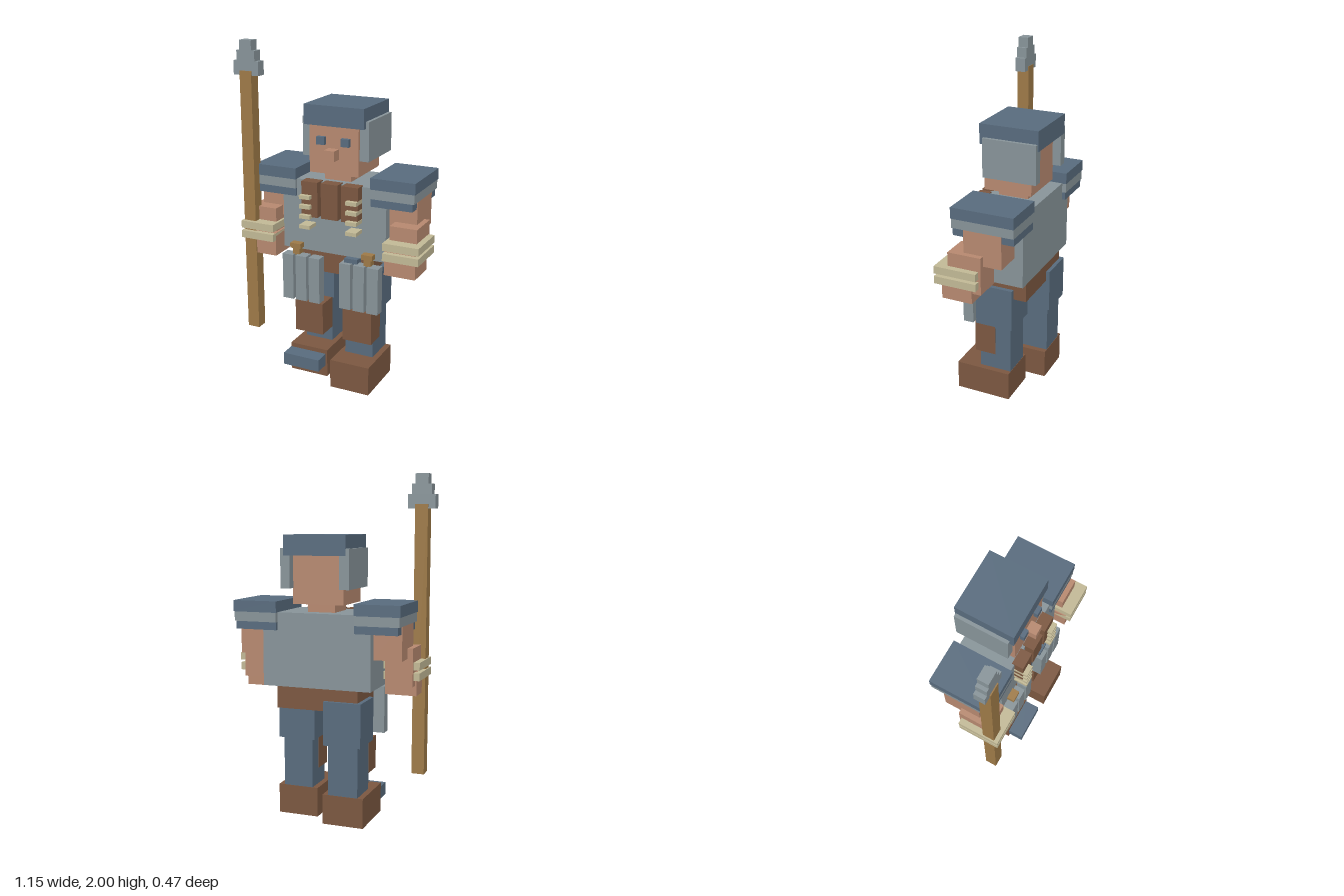
import * as THREE from 'three';

const paint = (name, color) => {
  const m = new THREE.MeshStandardMaterial({ color });
  m.name = name;
  return m;
};

export function createModel() {
  const model = new THREE.Group();
  model.name = 'blockGuard';
  const blue = paint('steelBlue', 0x586b7d);
  const grey = paint('plateGrey', 0x879398);
  const skin = paint('skin', 0xb6886f);
  const brown = paint('leather', 0x7b5740);
  const wood = paint('wood', 0x9d7947);
  const cream = paint('cream', 0xc1b895);

  // Box given by its [min, max] range on each axis
  function box(name, mat, x, y, z) {
    const size = [x, y, z].map(([a, b]) => b - a);
    const mesh = new THREE.Mesh(new THREE.BoxGeometry(...size), mat);
    mesh.position.set(...[x, y, z].map(([a, b]) => (a + b) / 2));
    mesh.name = name;
    model.add(mesh);
  }
  // The body is mirrored about x = 0.015
  const flip = ([a, b]) => [0.03 - b, 0.03 - a];
  function pair(name, mat, x, y, z) {
    box(name + 'Left', mat, x, y, z);
    box(name + 'Right', mat, flip(x), y, z);
  }

  // Head
  box('head', skin, [-0.14, 0.165], [1.27, 1.56], [-0.18, 0.105]);
  box('neck', skin, [-0.07, 0.095], [1.21, 1.28], [-0.13, 0.05]);
  box('helmet', blue, [-0.17, 0.2], [1.545, 1.66], [-0.235, 0.115]);
  pair('cheekGuard', grey, [0.163, 0.22], [1.36, 1.585], [-0.23, 0.09]);
  pair('eye', blue, [0.065, 0.115], [1.44, 1.485], [0.09, 0.13]);
  box('nose', skin, [-0.02, 0.045], [1.36, 1.42], [0.1, 0.168]);

  // Torso and belt
  box('torso', grey, [-0.31, 0.34], [0.795, 1.222], [-0.21, 0.115]);
  box('hips', brown, [-0.23, 0.26], [0.665, 0.8], [-0.195, 0.095]);
  box('chestPanelMiddle', brown, [-0.038, 0.066], [1.02, 1.228], [0.1, 0.17]);
  pair('chestPanel', brown, [0.09, 0.192], [1.02, 1.228], [0.1, 0.17]);
  for (const y of [1.14, 1.083, 1.023, 0.963])
    pair('clasp', cream, [0.127, 0.194], [y - 0.011, y + 0.011], [0.1, 0.198]);
  pair('buckle', wood, [0.21, 0.277], [0.808, 0.838], [0.1, 0.16]);
  pair('buckleTongue', wood, [0.222, 0.264], [0.765, 0.808], [0.1, 0.15]);
  box('beltTab', blue, [0.1, 0.18], [0.765, 0.796], [0.09, 0.15]);

  // Shoulders and arms
  pair('shoulderTop', blue, [0.248, 0.515], [1.22, 1.285], [-0.235, 0.135]);
  pair('shoulderBand', grey, [0.25, 0.51], [1.165, 1.22], [-0.233, 0.133]);
  pair('shoulderRim', blue, [0.25, 0.5], [1.12, 1.165], [-0.23, 0.13]);
  pair('upperArm', skin, [0.33, 0.505], [0.97, 1.17], [-0.16, 0.065]);
  pair('forearm', skin, [0.375, 0.537], [0.81, 1.03], [-0.052, 0.147]);
  pair('hand', skin, [0.36, 0.545], [0.75, 0.89], [0, 0.183]);
  for (const y of [0.845, 0.905])
    pair('bracelet', cream, [0.36, 0.573], [y, y + 0.044], [-0.038, 0.215]);

  // Hip plates
  for (const x of [0.08, 0.166, 0.252])
    pair('hipPlate', grey, [x, x + 0.069], [0.49, 0.77], [0.112, 0.175]);

  // Legs: the right one stands a step behind
  for (const [side, at, dz] of [['Left', (x) => x, 0], ['Right', flip, -0.1]]) {
    const part = (name, mat, x, y, [a, b]) => box(name + side, mat, at(x), y, [a + dz, b + dz]);
    part('thigh', blue, [0.062, 0.285], [0.47, 0.725], [-0.117, 0.113]);
    part('shin', blue, [0.083, 0.262], [0.17, 0.47], [-0.098, 0.098]);
    part('boot', brown, [0.05, 0.296], [0, 0.175], [-0.1, 0.235]);
  }
  pair('shinGuard', brown, [0.081, 0.264], [0.27, 0.468], [0, 0.13]);
  box('toePlate', blue, [-0.265, -0.03], [0.075, 0.15], [0.137, 0.232]);

  // Spear
  box('spearShaft', wood, [-0.535, -0.46], [0.26, 1.83], [0.118, 0.19]);
  for (const [half, y0, y1] of [[0.08, 1.805, 1.885], [0.058, 1.885, 1.943], [0.038, 1.943, 2]])
    box('spearTip', grey, [-0.497 - half, -0.497 + half], [y0, y1], [0.122, 0.184]);

  return model;
}
